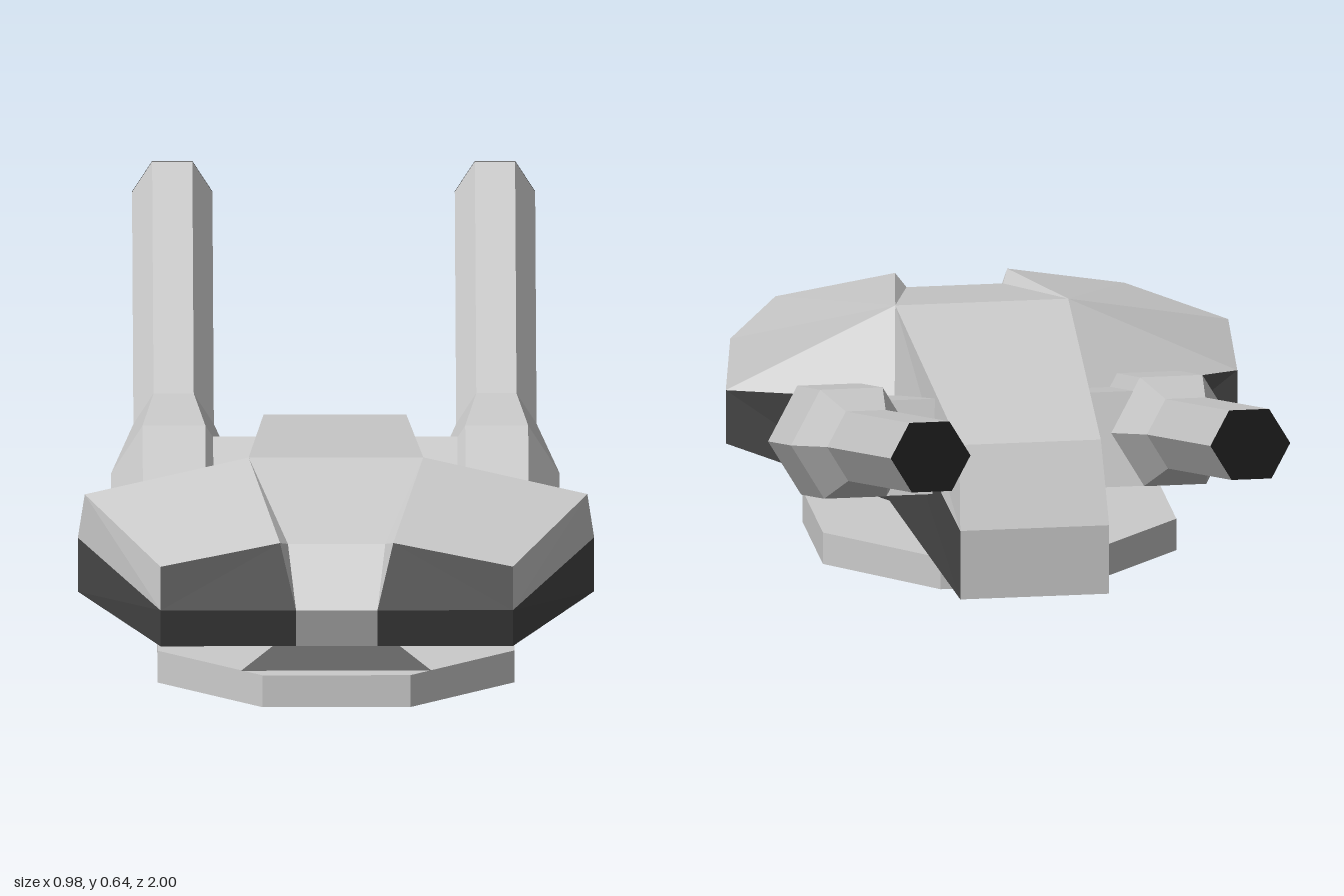
import * as THREE from 'three';

const material = (color) => new THREE.MeshStandardMaterial({ color, flatShading: true });
const light = material(0xcccccc), dark = material(0x484848), black = material(0x0c0c0c);

function add(parent, name, geometry, mat) {
  const mesh = new THREE.Mesh(geometry, mat);
  mesh.name = name;
  parent.add(mesh);
  return mesh;
}

// Mirrored plating: each face is a fan of corners on the +x half, turned away from an inner point
function plating(faces, inner) {
  const pos = [];
  const centre = new THREE.Vector3(...inner);
  for (const face of faces) {
    const p = face.map((c) => new THREE.Vector3(...c));
    for (let i = 1; i < p.length - 1; i++) {
      let [a, b, c] = [p[0], p[i], p[i + 1]];
      const n = b.clone().sub(a).cross(c.clone().sub(a));
      const out = a.clone().add(b).add(c).divideScalar(3).sub(centre);
      if (n.dot(out) < 0) [b, c] = [c, b];
      for (const v of [a, b, c]) pos.push(v.x, v.y, v.z);
      for (const v of [a, c, b]) pos.push(-v.x, v.y, v.z);
    }
  }
  const geo = new THREE.BufferGeometry();
  geo.setAttribute('position', new THREE.Float32BufferAttribute(pos, 3));
  geo.computeVertexNormals();
  return geo;
}
const mid = ([, y, z]) => [0, y, z];

export function createModel() {
  const model = new THREE.Group();
  model.name = 'gunTurret';

  // Octagonal base
  const base = new THREE.CylinderGeometry(0.365, 0.365, 0.062, 8).rotateY(Math.PI / 8);
  add(model, 'base', base, light).position.set(0, 0.031, 0.422);

  // Corners of the head
  const ridge = [0.165, 0.43, 0.53], shoulder = [0.475, 0.367, 0.565];
  const cheekIn = [0.107, 0.367, 0.955], cheekOut = [0.333, 0.325, 0.972];
  const visorTop = [0.092, 0.353, 0.905], visorLow = [0.077, 0.247, 1], chinIn = [0.077, 0.17, 0.97];
  const noseOut = [0.333, 0.247, 1], chinOut = [0.333, 0.17, 0.97];
  const wing = [0.488, 0.275, 0.533], wingLow = [0.488, 0.17, 0.533];
  const neckSide = [0.18, 0.275, 0.43], keel = [0.185, 0.065, 0.465];

  const headInner = [0.2, 0.25, 0.7];
  add(model, 'headUpperArmour', plating([
    [mid(ridge), ridge, visorTop, mid(visorTop)],
    [ridge, cheekIn, visorTop],
    [ridge, shoulder, cheekOut, cheekIn],
    [shoulder, wing, noseOut, cheekOut],
    [ridge, shoulder, wing, neckSide],
    [visorTop, cheekIn, visorLow],
    [mid(visorTop), visorTop, visorLow, mid(visorLow)],
    [mid(visorLow), visorLow, chinIn, mid(chinIn)],
  ], headInner), light);
  add(model, 'headLowerArmour', plating([
    [cheekIn, cheekOut, noseOut, visorLow],
    [visorLow, noseOut, chinOut, chinIn],
    [noseOut, wing, wingLow, chinOut],
    [chinOut, wingLow, keel],
    [mid(chinIn), chinOut, keel, mid(keel)],
    [wing, wingLow, keel, neckSide],
  ], headInner), dark);

  // Tail body behind the head, with the pedestal wedge below it
  const tailTop = [0.135, 0.35, -0.14], tailMid = [0.142, 0.2, -0.205], tailLow = [0.142, 0.065, -0.205];
  const wedgeLow = [0.18, 0.065, 0.735], wedgeTop = [0.107, 0.115, 0.7];
  const bodyInner = [0.05, 0.2, 0.2];
  add(model, 'bodyUpper', plating([
    [mid(ridge), ridge, tailTop, mid(tailTop)],
    [ridge, tailTop, tailMid, neckSide],
    [mid(tailTop), tailTop, tailMid, mid(tailMid)],
    [mid(tailMid), tailMid, tailLow, mid(tailLow)],
  ], bodyInner), light);
  add(model, 'bodyLower', plating([
    [neckSide, tailMid, tailLow, keel],
    [keel, wedgeLow, wedgeTop],
    [mid(wedgeTop), wedgeTop, wedgeLow, mid(wedgeLow)],
    [mid(tailLow), tailLow, keel, wedgeLow, mid(wedgeLow)],
  ], bodyInner), dark);

  // Twin guns: hexagonal barrels raised toward the back, with mounts
  const tilt = THREE.MathUtils.degToRad(15);
  const profile = [[0, 0], [0.119, 0], [0.119, 0.33], [0.076, 0.525], [0.076, 1.438]]
    .map(([r, y]) => new THREE.Vector2(r, y));
  for (const [side, name] of [[1, 'left'], [-1, 'right']]) {
    const gun = new THREE.Group();
    gun.name = name + 'Gun';
    gun.position.set(side * 0.305, 0.207, 0.412);
    gun.rotation.x = tilt - Math.PI / 2;
    add(gun, name + 'Barrel', new THREE.LatheGeometry(profile, 6).rotateY(Math.PI / 6), light);
    const muzzle = new THREE.CylinderGeometry(0.076, 0.076, 0.002, 6).rotateY(Math.PI / 6);
    add(gun, name + 'Muzzle', muzzle, black).position.y = 1.439;
    model.add(gun);

    const mount = add(model, name + 'Mount', new THREE.BoxGeometry(0.19, 0.18, 0.32), light);
    mount.position.set(side * 0.2, 0.24, 0.242);
    mount.rotation.x = tilt;
  }
  return model;
}
